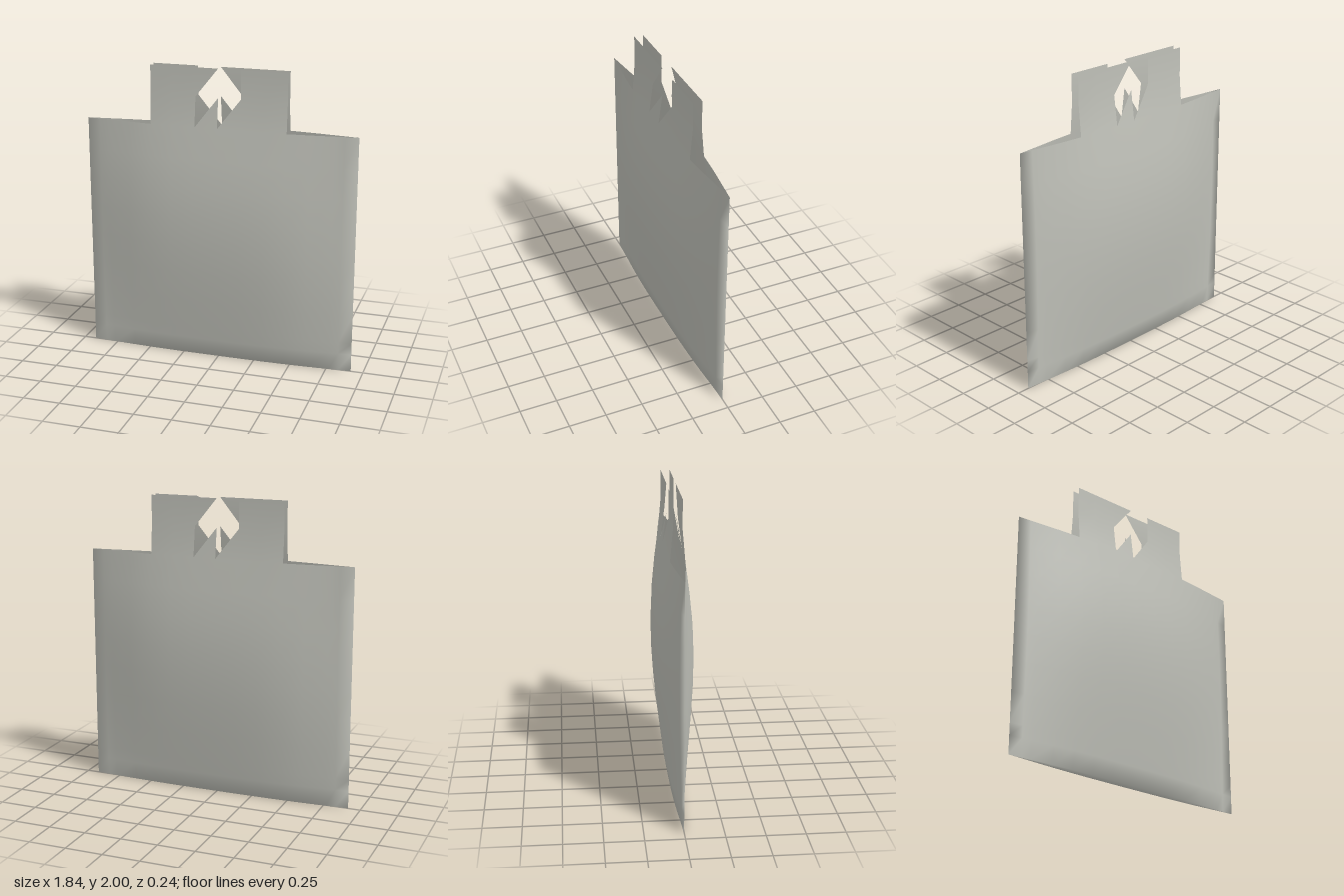
import * as THREE from 'three';
import { mergeVertices } from 'three/addons/utils/BufferGeometryUtils.js';

// Column positions with depth factor, mirrored to both sides
const half = [[0, 1], [0.153, 0.985], [0.307, 0.94], [0.46, 0.83], [0.613, 0.61], [0.767, 0.3], [0.83, 0.18], [0.918, 0]];
const columns = [...half.slice(1).reverse().map(([x, f]) => [-x, f]), ...half];
// Row heights with half thickness at the middle
const rows = [[0, 0.03], [0.12, 0.047], [0.2, 0.057], [0.4, 0.083], [0.61, 0.105], [0.8, 0.118],
  [1, 0.122], [1.2, 0.113], [1.4, 0.09], [1.61, 0.057]];
const handleRows = [rows[rows.length - 1], [1.81, 0.03], [2, 0.03]];

// Point on the front sheet; the handles flatten out at their upper part
const point = ([x, f], [y, t]) => [x, y, y > 1.7 ? t : t * f];

// Triangles of one grid cell, either side of its rising diagonal
const lower = (c0, c1, r0, r1) => [point(c0, r0), point(c1, r0), point(c1, r1)];
const upper = (c0, c1, r0, r1) => [point(c0, r0), point(c1, r1), point(c0, r1)];

// The back sheet is the front sheet turned half way round
const withBack = (pts) => [...pts, ...pts.map(([x, y, z]) => [-x, y, -z])];

function smoothMesh(name, points, material) {
  const raw = new THREE.BufferGeometry();
  raw.setAttribute('position', new THREE.Float32BufferAttribute(points.flat(), 3));
  const geometry = mergeVertices(raw, 1e-4);
  geometry.computeVertexNormals();
  const mesh = new THREE.Mesh(geometry, material);
  mesh.name = name;
  return mesh;
}

export function createModel() {
  const group = new THREE.Group();
  group.name = 'carrierBag';
  const plastic = new THREE.MeshStandardMaterial({ color: 0xbfc0b8, side: THREE.DoubleSide });
  plastic.name = 'greyPlastic';

  const sheet = [];
  const base = [];
  for (let i = 0; i < columns.length - 1; i++) {
    const a = columns[i], b = columns[i + 1];
    // Bulging pouch
    for (let j = 0; j < rows.length - 1; j++) {
      sheet.push(...lower(a, b, rows[j], rows[j + 1]), ...upper(a, b, rows[j], rows[j + 1]));
    }
    // Handle tab with a stepped cutout in the middle two columns
    if (a[0] > -0.47 && b[0] < 0.47) {
      const middle = a[0] > -0.16 && b[0] < 0.16;
      const [r0, r1, r2] = handleRows;
      sheet.push(...lower(a, b, r0, r1));
      if (!middle) sheet.push(...upper(a, b, r0, r1), ...lower(a, b, r1, r2));
      if (!middle || a[0] < -0.01) sheet.push(...upper(a, b, r1, r2));
    }
    // Closed bottom strip
    const fa = point(a, rows[0]), fb = point(b, rows[0]);
    const ba = [fa[0], 0, -fa[2]], bb = [fb[0], 0, -fb[2]];
    if (fa[2] > 0) base.push(fa, ba, fb);
    if (fb[2] > 0) base.push(...(fa[2] > 0 ? [fb, ba, bb] : [fb, fa, bb]));
  }
  group.add(smoothMesh('bag', [...withBack(sheet), ...base], plastic));
  return group;
}
